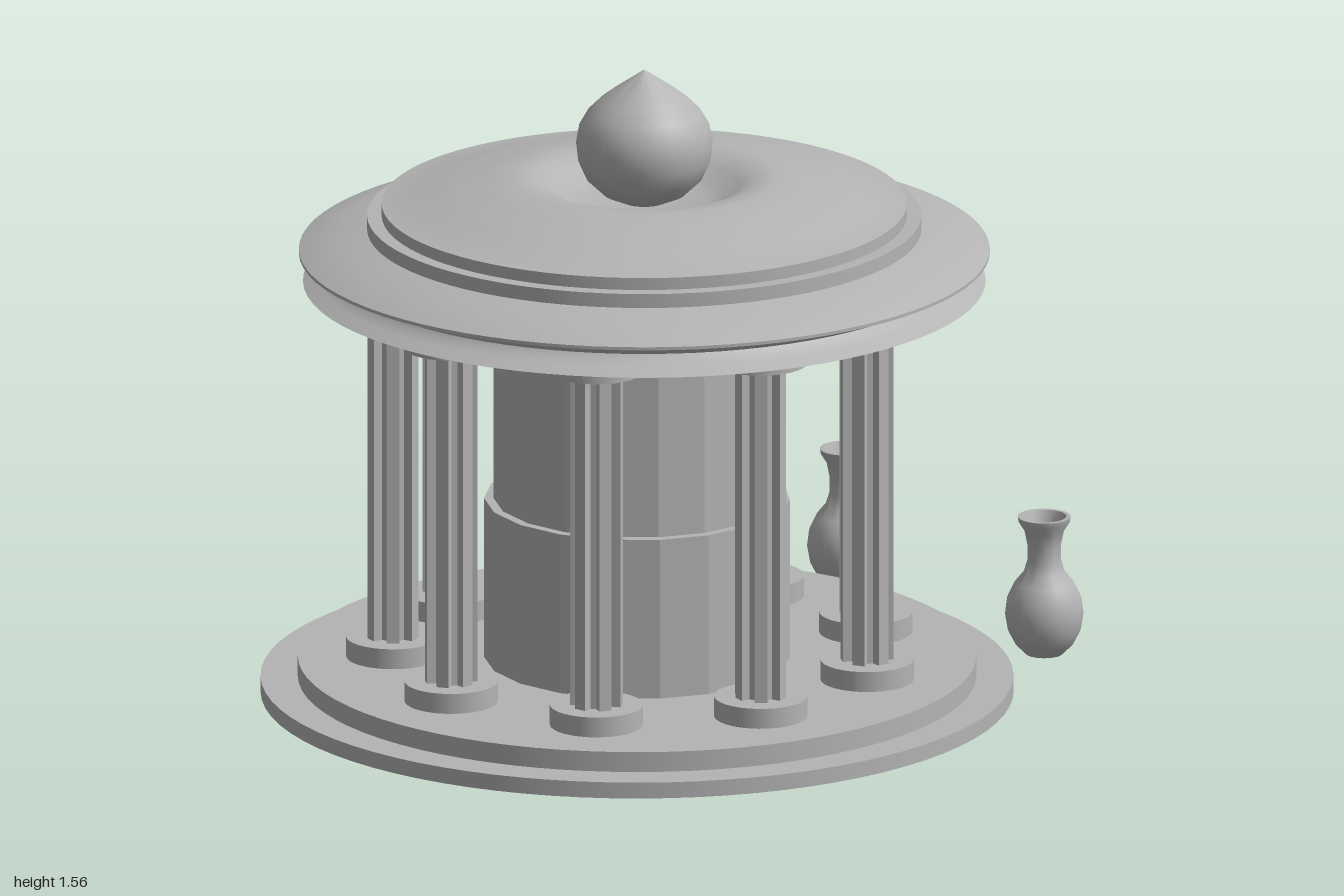
import * as THREE from 'three';
import { toCreasedNormals } from 'three/addons/utils/BufferGeometryUtils.js';

const stone = new THREE.MeshStandardMaterial({ color: 0xb4b4b4 });
stone.name = 'grey stone';
const RAD = Math.PI / 180;
const CZ = 0.09; // centre of the plan
const TURN = -5; // heading of the colonnade and doorway, in degrees

function add(parent, name, geometry, x = 0, y = 0, z = 0) {
  const mesh = new THREE.Mesh(geometry, stone);
  mesh.name = name;
  mesh.position.set(x, y, z);
  parent.add(mesh);
  return mesh;
}

function disc(radius, bottom, top, segments = 64) {
  return new THREE.CylinderGeometry(radius, radius, top - bottom, segments).translate(0, (bottom + top) / 2, 0);
}

function lathe(points, segments, crease = 25) {
  const g = new THREE.LatheGeometry(points.map(([r, y]) => new THREE.Vector2(r, y)), segments);
  return toCreasedNormals(g, crease * RAD);
}

// Thick curved wall swept through the given angles, with a variable lower edge
function curvedWall(angles, outer, inner, bottomAt, top, capped) {
  const pos = [];
  const section = (deg) => {
    const s = Math.sin(deg * RAD), c = Math.cos(deg * RAD), b = bottomAt(deg);
    return [[outer, b], [outer, top], [inner, top], [inner, b]].map(([r, y]) => [r * s, y, r * c]);
  };
  const quad = (a, b, c, d) => pos.push(...a, ...b, ...c, ...a, ...c, ...d);
  for (let i = 0; i < angles.length - 1; i++) {
    const p = section(angles[i]), q = section(angles[i + 1]);
    for (let k = 0; k < 4; k++) {
      const n = (k + 1) % 4;
      quad(p[k], q[k], q[n], p[n]);
    }
  }
  if (capped) {
    const p = section(angles[0]), q = section(angles[angles.length - 1]);
    quad(p[0], p[1], p[2], p[3]);
    quad(q[3], q[2], q[1], q[0]);
  }
  const g = new THREE.BufferGeometry();
  g.setAttribute('position', new THREE.Float32BufferAttribute(pos, 3));
  g.computeVertexNormals();
  return g;
}

// Ribbed shaft with six flutes
function shaftGeometry(height) {
  const shape = new THREE.Shape();
  const ribs = 6;
  for (let i = 0; i < ribs; i++) {
    [[-14, 0.064], [14, 0.064], [20, 0.042], [40, 0.042]].forEach(([d, r], k) => {
      const a = (i * 360 / ribs + d) * RAD;
      const x = r * Math.cos(a), y = r * Math.sin(a);
      if (i === 0 && k === 0) shape.moveTo(x, y); else shape.lineTo(x, y);
    });
  }
  shape.closePath();
  return new THREE.ExtrudeGeometry(shape, { depth: height, bevelEnabled: false }).rotateX(-Math.PI / 2);
}

export function createModel() {
  const model = new THREE.Group();
  model.name = 'roundTemple';

  // Stepped platform
  add(model, 'lowerStep', disc(0.91, 0, 0.04, 80), 0, 0, CZ);
  add(model, 'upperStep', disc(0.82, 0.04, 0.09, 80), 0, 0, CZ);

  // Ring of nine columns
  const shaft = shaftGeometry(0.84);
  const foot = disc(0.113, 0.09, 0.14, 32);
  const capital = disc(0.113, 0.98, 1.03, 32);
  for (let i = 0; i < 9; i++) {
    const a = (TURN + i * 40) * RAD;
    const column = new THREE.Group();
    column.name = 'column';
    column.position.set(0.59 * Math.sin(a), 0, CZ + 0.59 * Math.cos(a));
    column.rotation.y = a;
    add(column, 'columnFoot', foot);
    add(column, 'columnShaft', shaft, 0, 0.14, 0);
    add(column, 'columnCapital', capital);
    model.add(column);
  }

  // Inner chamber with an arched doorway at the back
  const door = 180 + TURN, half = 25;
  const wallAngles = [], archAngles = [];
  for (let i = 0; i <= 16; i++) wallAngles.push(door + half + (360 - 2 * half) * i / 16);
  for (let i = 1; i <= 12; i++) archAngles.push(door + 360 - half * Math.cos(Math.PI * i / 12));
  const archBottom = (deg) => {
    const t = Math.abs(deg - door) < half ? (deg - door) / half : (deg - door - 360) / half;
    return Math.abs(t) < 1 ? 0.49 + 0.2 * Math.sqrt(1 - t * t) : 0.49;
  };
  add(model, 'chamberLowerWall', curvedWall(wallAngles, 0.37, 0.28, () => 0.09, 0.49, true), 0, 0, CZ);
  add(model, 'chamberUpperWall',
    curvedWall([...wallAngles, ...archAngles], 0.347, 0.28, archBottom, 1.03, false), 0, 0, CZ);

  // Moulded roof with a dished crown
  add(model, 'roof', lathe([
    [0, 1.03], [0.825, 1.03], [0.79, 1.047], [0.765, 1.06], [0.757, 1.07], [0.765, 1.08], [0.79, 1.092],
    [0.835, 1.102], [0.835, 1.11], [0.8, 1.125], [0.74, 1.145], [0.67, 1.16],
    [0.67, 1.195], [0.635, 1.195], [0.635, 1.225],
    [0.575, 1.234], [0.5, 1.258], [0.46, 1.266], [0.39, 1.28], [0.32, 1.293], [0.27, 1.29],
    [0.23, 1.272], [0.19, 1.245], [0.15, 1.232], [0, 1.23],
  ], 80), 0, 0, 0.065);

  // Pointed finial
  add(model, 'finial', lathe([
    [0, 1.225], [0.05, 1.23], [0.1, 1.252], [0.14, 1.29], [0.16, 1.335], [0.165, 1.38], [0.158, 1.42],
    [0.138, 1.455], [0.108, 1.485], [0.073, 1.512], [0.035, 1.538], [0, 1.562],
  ], 48, 40), 0, 0, 0.065);

  // Two vases standing behind the platform
  const vase = lathe([
    [0, 0], [0.045, 0], [0.07, 0.025], [0.088, 0.06], [0.095, 0.1], [0.09, 0.14], [0.072, 0.178],
    [0.05, 0.205], [0.041, 0.235], [0.041, 0.275], [0.048, 0.31], [0.062, 0.332], [0.064, 0.345],
    [0.054, 0.345], [0.04, 0.31], [0.033, 0.27], [0.033, 0.23], [0, 0.21],
  ], 32, 45);
  for (const [x, z] of [[-0.27, -0.905], [0.475, -0.83]]) add(model, 'vase', vase, x, 0, z);

  return model;
}
